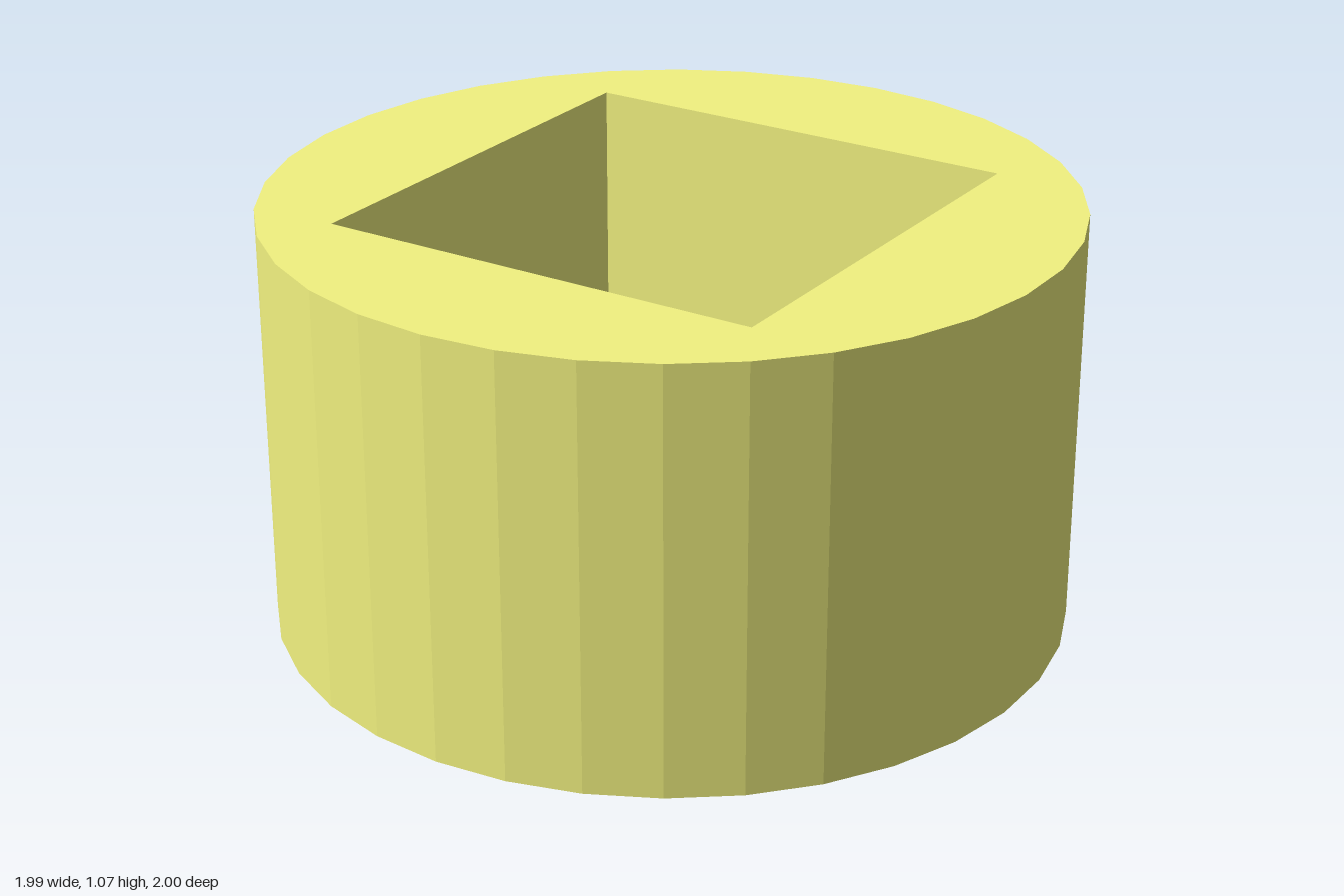
import * as THREE from 'three';

const SIDES = 34;
const RADIUS = 1;
const HEIGHT = 1.066;
const HOLE = 0.58; // half width of the square bore

export function createModel() {
  const group = new THREE.Group();
  group.name = 'squareBoreCollar';

  // Faceted round outline with a corner facing front and back
  const outline = [];
  for (let i = 0; i < SIDES; i++) {
    const a = Math.PI / 2 + (i / SIDES) * Math.PI * 2;
    outline.push(new THREE.Vector2(Math.cos(a) * RADIUS, Math.sin(a) * RADIUS));
  }
  const shape = new THREE.Shape(outline);

  // Square hole through the full height
  shape.holes.push(new THREE.Path([
    new THREE.Vector2(-HOLE, -HOLE),
    new THREE.Vector2(-HOLE, HOLE),
    new THREE.Vector2(HOLE, HOLE),
    new THREE.Vector2(HOLE, -HOLE),
  ]));

  const geometry = new THREE.ExtrudeGeometry(shape, { depth: HEIGHT, bevelEnabled: false });
  geometry.rotateX(-Math.PI / 2);

  const material = new THREE.MeshStandardMaterial({ color: 0xf2f280, flatShading: true });
  const collar = new THREE.Mesh(geometry, material);
  collar.name = 'collar';
  group.add(collar);
  return group;
}
